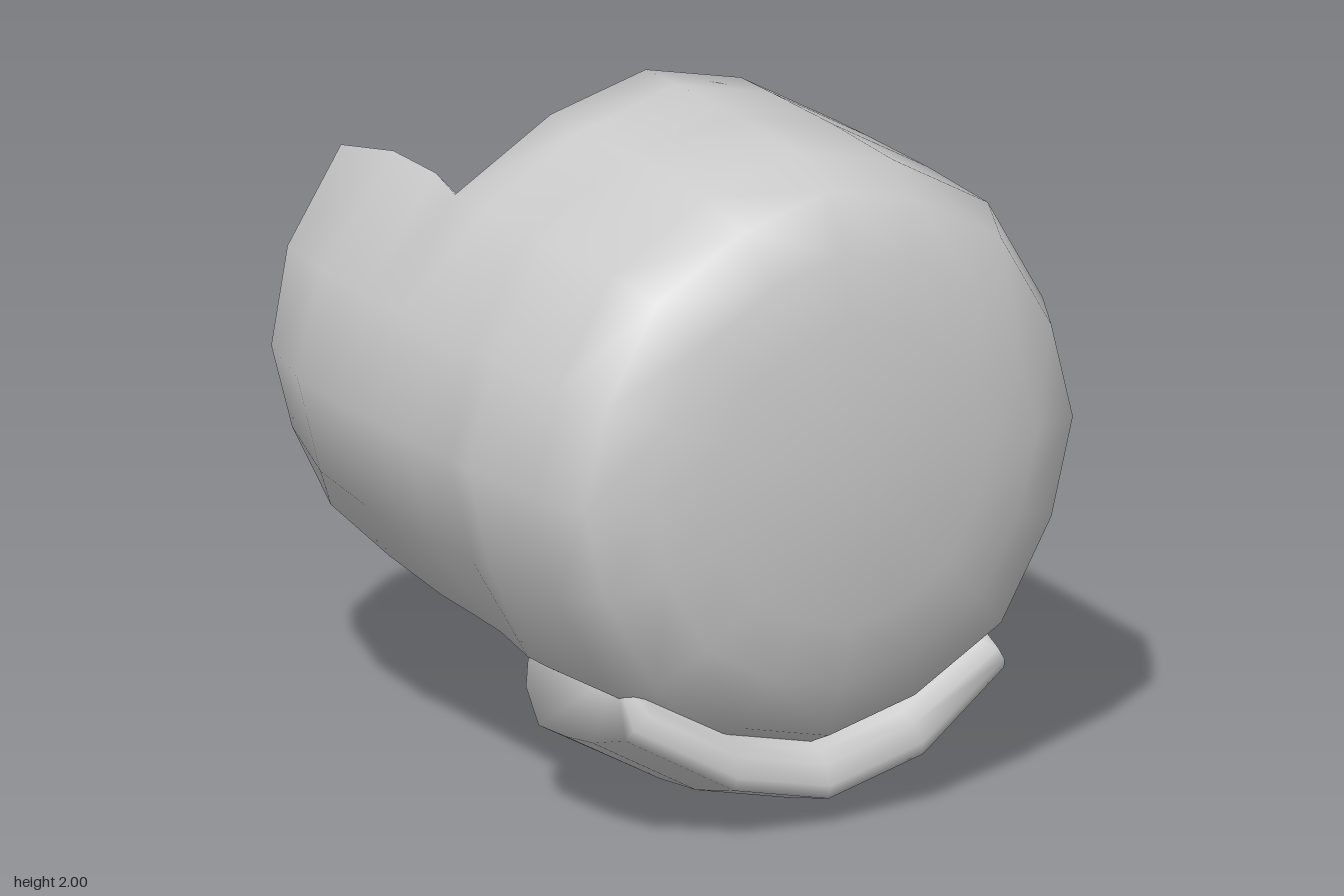
import * as THREE from 'three';

const SIDES = 16;
const CENTRE_Y = 1.095;
const material = new THREE.MeshStandardMaterial({ color: 0xcccccc, side: THREE.DoubleSide });

// Point on the slightly uneven 16-sided ring, relative to its centre
function ringPoint(i, radius) {
  const a = (i / SIDES) * Math.PI * 2;
  const wave = Math.sin(4 * a);
  const r = radius * (1 - 0.022 * Math.abs(wave));
  const angle = a - 0.024 * wave;
  return [r * Math.cos(angle), r * Math.sin(angle)];
}

function makeMesh(name, positions, indices) {
  const indexed = new THREE.BufferGeometry();
  indexed.setAttribute('position', new THREE.Float32BufferAttribute(positions, 3));
  indexed.setIndex(indices);
  indexed.computeVertexNormals();
  const mesh = new THREE.Mesh(indexed.toNonIndexed(), material);
  mesh.name = name;
  return mesh;
}

// Domed barrel along z, from the front apex to the open back:
// [z, radius, inward pinch of the flaps' upper edge, of their lower edge]
const PROFILE = [
  [0.975, 0, 1, 1], [0.925, 0.46, 1, 1], [0.88, 0.65, 1, 1], [0.8, 0.82, 1, 1],
  [0.64, 0.895, 1, 1], [0.3, 0.907, 1, 1], [0.2, 0.907, 1, 1],
  [-0.03, 0.907, 1, 0.92], [-0.2, 0.905, 1, 0.9], [-0.38, 0.913, 0.92, 0.89],
  [-0.66, 0.888, 0.9, 0.92], [-0.945, 0.8, 1, 1.06],
];
const BACK_ROW = PROFILE.length - 1;

// Last profile row reached by each sector: top panel, chin and side flaps
function lastRow(sector) {
  if (sector >= 2 && sector < 6) return 8;
  if (sector >= 10 && sector < 14) return 6;
  return BACK_ROW;
}

function makeShell() {
  const positions = [];
  const layerSize = 1 + BACK_ROW * SIDES;
  const id = (row, i) => (row === 0 ? 0 : 1 + (row - 1) * SIDES + (i % SIDES));

  // Outer layer, then inner layer
  for (const inner of [false, true]) {
    PROFILE.forEach(([z, r, upperPinch, lowerPinch], row) => {
      const inset = inner ? 0.08 * THREE.MathUtils.clamp((z - 0.3) / 0.4, 0, 1) : 0;
      const back = THREE.MathUtils.clamp((-0.2 - z) / 0.75, 0, 1);
      for (let i = 0; i < (row === 0 ? 1 : SIDES); i++) {
        const [x, y] = ringPoint(i, r * (inner ? 0.9 : 1));
        // Flap edges curl inward; the lower one rises toward the back
        const flapEdge = i % 4 === 2;
        const pinch = flapEdge ? (y > 0 ? upperPinch : lowerPinch) : 1;
        const lift = y < 0 ? 1 - 0.09 * back : 1;
        const peak = row === BACK_ROW && (i === 1 || i === 7) ? 0.025 : 0;
        positions.push(x * pinch, CENTRE_Y + y * lift, z - inset - peak);
      }
    });
  }

  const outer = [];
  for (let i = 0; i < SIDES; i++) {
    for (let row = 0; row < lastRow(i); row++) {
      const a = id(row, i), b = id(row, i + 1);
      const c = id(row + 1, i + 1), d = id(row + 1, i);
      outer.push([a, d, c]);
      if (row > 0) outer.push([a, c, b]);
    }
  }

  const indices = [];
  const edges = new Map();
  for (const [a, b, c] of outer) {
    indices.push(a, b, c, c + layerSize, b + layerSize, a + layerSize);
    for (const [p, q] of [[a, b], [b, c], [c, a]]) edges.set(`${p},${q}`, [p, q]);
  }

  // Rim joining the two layers along every open edge
  for (const [p, q] of edges.values()) {
    if (edges.has(`${q},${p}`)) continue;
    indices.push(q, p, p + layerSize, q, p + layerSize, q + layerSize);
  }
  return makeMesh('helmetShell', positions, indices);
}

// Thick chin guard: section [z, radius, drop] swept along the bottom sectors
function makeChinGuard() {
  const section = [
    [0.6, 0.83, 0], [0.75, 0.785, 0.095], [0.79, 0.83, 0.08], [0.81, 0.88, 0.09],
    [0.8, 0.9, 0.11], [0.6, 0.915, 0.15], [0.4, 0.917, 0.17], [0.2, 0.917, 0.178],
    [0.1, 0.9, 0.1], [0.11, 0.89, 0.03], [0.17, 0.83, 0], [0.24, 0.81, 0],
  ];
  const n = section.length;
  const steps = 4;
  const positions = [];
  const indices = [];
  for (let s = 0; s <= steps; s++) {
    const isEnd = s === 0 || s === steps;
    for (const [z, r, drop] of section) {
      const [x, y] = ringPoint(10 + s, r);
      // The outside of the band is narrower at its two ends
      const width = isEnd ? 0.95 - 2.5 * Math.max(0, r - 0.83) : 1;
      positions.push(x, CENTRE_Y + y - drop, 0.46 + (z - 0.46) * width);
    }
  }
  for (let s = 0; s < steps; s++) {
    for (let k = 0; k < n; k++) {
      const a = s * n + k, d = s * n + ((k + 1) % n);
      const b = a + n, c = d + n;
      indices.push(a, d, c, a, c, b);
    }
  }
  // End caps
  const last = steps * n;
  for (let k = 1; k < n - 1; k++) {
    indices.push(0, k + 1, k, last, last + k, last + k + 1);
  }
  return makeMesh('chinGuard', positions, indices);
}

export function createModel() {
  const model = new THREE.Group();
  model.name = 'helmet';
  model.add(makeShell(), makeChinGuard());
  return model;
}
